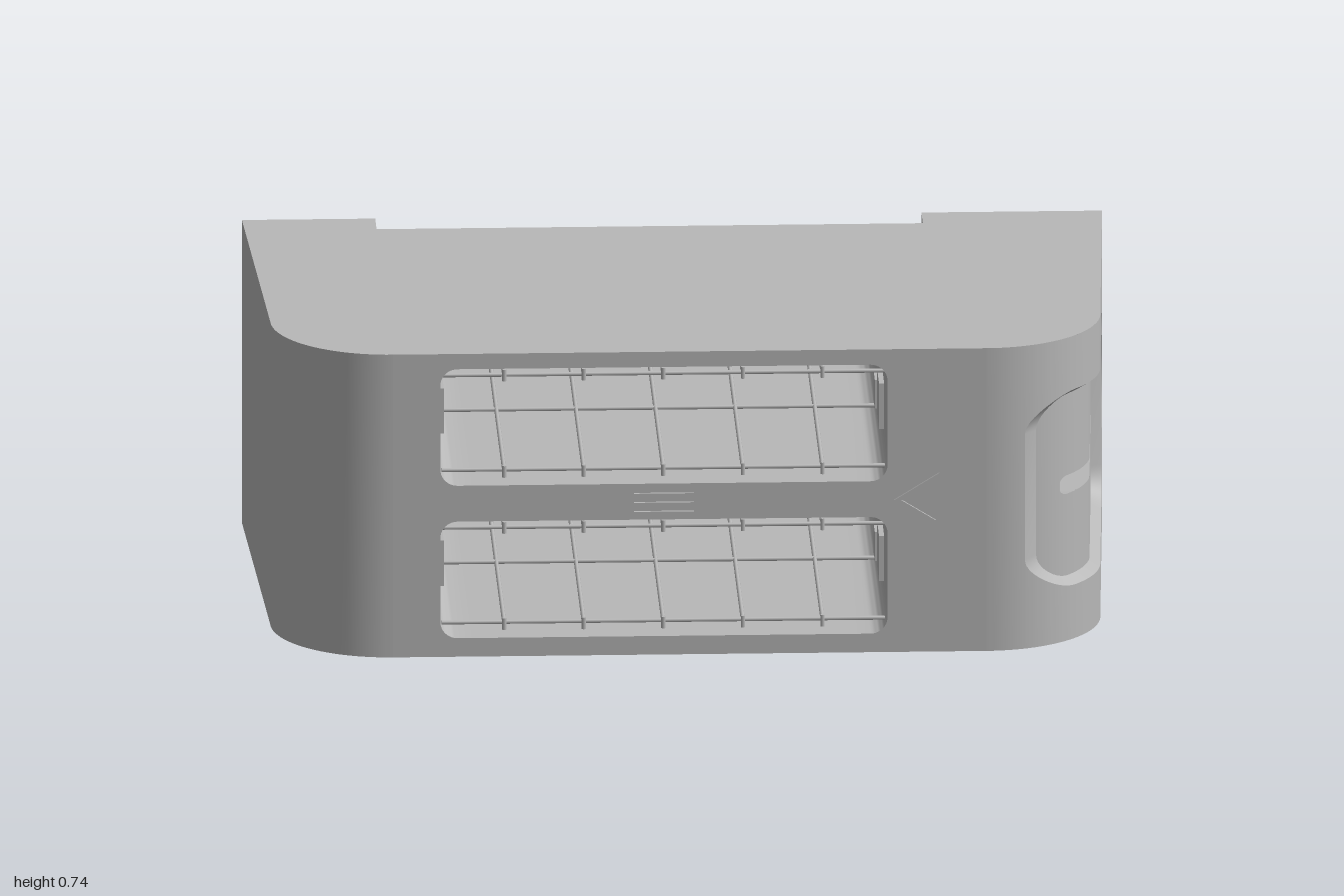
import * as THREE from 'three';
import { toCreasedNormals } from 'three/addons/utils/BufferGeometryUtils.js';

const H = 0.735, BACK = -0.515, FRONT = 0.575, NOTCH = -0.43, R = 0.275;
const grey = new THREE.MeshStandardMaterial({ color: 0xb8b8b8, side: THREE.DoubleSide });
grey.name = 'casing grey';

// Rounded rectangle on an unrolled wall: u along the wall, y up
function rounded(u0, u1, y0, y1, r) {
  const us = [];
  const end = (i) => r * (1 - Math.cos((i / 10) * Math.PI / 2));
  for (let i = 0; i < 10; i++) us.push(u0 + end(i));
  for (let i = 0; i <= 24; i++) us.push(u0 + r + (u1 - u0 - 2 * r) * i / 24);
  for (let i = 9; i >= 0; i--) us.push(u1 - end(i));
  const inset = (u) => {
    const e = Math.max(0, Math.min(u - u0, u1 - u, r));
    return r - Math.sqrt(Math.max(0, r * r - (r - e) ** 2));
  };
  return { u0, u1, us, lo: (u) => y0 + inset(u), hi: (u) => y1 - inset(u) };
}

// Collects quads into a creased surface; a map turns u into [x, z]
class Surface {
  constructor() { this.p = []; }
  tri(a, b, c) {
    const [A, B, C] = [a, b, c].map((q) => new THREE.Vector3(...q));
    if (B.sub(A).cross(C.sub(A)).length() > 1e-10) this.p.push(...a, ...b, ...c);
  }
  quad(a, b, c, d) { this.tri(a, b, c); this.tri(a, c, d); }
  // Wall filling a bound, leaving out the holes
  panel(map, bound, holes = []) {
    const at = (u, y) => { const [x, z] = map(u); return [x, y, z]; };
    const us = [...bound.us, ...holes.flatMap((h) => h.us)].sort((a, b) => a - b)
      .filter((u, i, s) => i === 0 || u - s[i - 1] > 1e-6);
    for (let i = 0; i + 1 < us.length; i++) {
      const a = us[i], b = us[i + 1], m = (a + b) / 2;
      const cut = holes.filter((h) => h.u0 < m && m < h.u1).sort((p, q) => p.lo(m) - q.lo(m));
      const lows = [bound.lo, ...cut.map((h) => h.hi)];
      const highs = [...cut.map((h) => h.lo), bound.hi];
      lows.forEach((lo, k) => {
        const hi = highs[k];
        this.quad(at(a, lo(a)), at(b, lo(b)), at(b, hi(b)), at(a, hi(a)));
      });
    }
    return this;
  }
  // Side walls between two rounded rectangles
  loft(mapA, A, mapB, B) {
    const ring = (map, s) => [
      ...s.us.map((u) => [map(u)[0], s.lo(u), map(u)[1]]),
      ...[...s.us].reverse().map((u) => [map(u)[0], s.hi(u), map(u)[1]])];
    const p = ring(mapA, A), q = ring(mapB, B), n = p.length;
    for (let i = 0; i < n; i++) this.quad(p[i], p[(i + 1) % n], q[(i + 1) % n], q[i]);
    return this;
  }
  mesh(name) {
    const g = new THREE.BufferGeometry();
    g.setAttribute('position', new THREE.Float32BufferAttribute(this.p, 3));
    return named(toCreasedNormals(g, 0.45), name);
  }
}

function named(geometry, name) {
  const m = new THREE.Mesh(geometry, grey);
  m.name = name;
  return m;
}
function box(name, x0, x1, y0, y1, z0, z1) {
  const m = named(new THREE.BoxGeometry(x1 - x0, y1 - y0, z1 - z0), name);
  m.position.set((x0 + x1) / 2, (y0 + y1) / 2, (z0 + z1) / 2);
  return m;
}
function wire(name, a, b) {
  const A = new THREE.Vector3(...a), d = new THREE.Vector3(...b).sub(A);
  const m = named(new THREE.CylinderGeometry(0.005, 0.005, d.length(), 8), name);
  m.position.copy(A).addScaledVector(d, 0.5);
  m.quaternion.setFromUnitVectors(new THREE.Vector3(0, 1, 0), d.normalize());
  return m;
}

// Side wall: slight taper, then a round front corner
const sideX = (z) => z <= 0.3 ? 0.965 + 0.035 * (0.3 - z) / 0.815
  : 0.69 + Math.sqrt(Math.max(0, R * R - (z - 0.3) ** 2));
const outer = (z) => [sideX(z), z];
const mirrored = (z) => [-sideX(z), z];
const inset = (z) => {
  const d = 0.025;
  return z <= 0.3 ? [sideX(z) - d, z]
    : [sideX(z) - d * (sideX(z) - 0.69) / R, z - d * (z - 0.3) / R];
};
const plane = (z) => (x) => [x, z];
const arcZ = Array.from({ length: 25 }, (_, i) => 0.3 + R * Math.sin((i / 24) * Math.PI / 2));

export function createModel() {
  const model = new THREE.Group();
  model.name = 'toaster oven';

  // Side walls, with the control recess, dial hole and small slot on one side
  const sideBound = { ...rounded(BACK, FRONT, 0, H, 0), us: [BACK, ...arcZ] };
  const recess = rounded(-0.2, 0.56, 0.13, 0.605, 0.085);
  const recessFloor = rounded(-0.182, 0.543, 0.147, 0.588, 0.07);
  const groove = rounded(-0.17, 0.5, 0.345, 0.39, 0.0225);
  const dial = rounded(-0.463, -0.237, 0.254, 0.48, 0.113);
  const pill = rounded(-0.42, -0.37, 0.53, 0.65, 0.0249);
  const grooveBed = (z) => { const [x, w] = inset(z); return [Math.min(x, 0.865), w]; };
  const dialBed = (z) => [0.83, z], pillBed = (z) => [0.96, z];
  model.add(new Surface().panel(outer, sideBound, [recess, dial, pill]).mesh('leftSide'));
  model.add(new Surface().panel(mirrored, sideBound).mesh('rightSide'));
  model.add(new Surface().loft(outer, recess, inset, recessFloor)
    .panel(inset, recessFloor, [groove]).mesh('controlRecess'));
  model.add(new Surface().loft(inset, groove, grooveBed, groove).panel(grooveBed, groove).mesh('leverGroove'));
  model.add(new Surface().loft(outer, dial, dialBed, dial).panel(dialBed, dial).mesh('dialHole'));
  model.add(new Surface().loft(outer, pill, pillBed, pill).panel(pillBed, pill).mesh('indicatorSlot'));

  // Front and back walls with the two through slots
  const slots = [0.045, 0.415].map((y) => rounded(-0.58, 0.46, y, y + 0.283, 0.04));
  model.add(new Surface().panel(plane(FRONT), rounded(-0.69, 0.69, 0, H, 0), slots).mesh('front'));
  const back = new Surface().panel(plane(NOTCH), rounded(-0.69, 0.58, 0, H, 0), slots)
    .panel(plane(BACK), rounded(-1, -0.69, 0, H, 0))
    .panel(plane(BACK), rounded(0.58, 1, 0, H, 0));
  for (const x of [-0.69, 0.58]) back.panel((z) => [x, z], rounded(BACK, NOTCH, 0, H, 0));
  model.add(back.mesh('back'));
  for (const s of slots) model.add(new Surface().loft(plane(FRONT), s, plane(NOTCH), s).mesh('slotWalls'));

  // Top and bottom
  const outline = new THREE.Shape([
    [-0.69, BACK], [-0.69, NOTCH], [0.58, NOTCH], [0.58, BACK], [1, BACK],
    ...arcZ.map(outer), ...[...arcZ].reverse().map(mirrored), [-1, BACK],
  ].map(([x, z]) => new THREE.Vector2(x, -z)));
  for (const [name, y] of [['top', H], ['bottom', 0]]) {
    const cap = named(new THREE.ShapeGeometry(outline), name);
    // The bottom is flipped so that its face looks down
    if (y) cap.geometry.rotateX(-Math.PI / 2);
    else cap.geometry.scale(1, -1, 1).rotateX(Math.PI / 2);
    if (!y) {
      const ix = cap.geometry.index.array;
      for (let i = 0; i < ix.length; i += 3) [ix[i], ix[i + 1]] = [ix[i + 1], ix[i]];
      cap.geometry.computeVertexNormals();
    }
    cap.position.y = y;
    model.add(cap);
  }

  // Tapered pan closing the slots behind
  const rim = rounded(-0.56, 0.45, 0.07, 0.665, 0.01);
  const bed = rounded(-0.5, 0.41, 0.175, 0.56, 0.01);
  model.add(new Surface().loft(plane(NOTCH), rim, plane(-0.462), rim)
    .loft(plane(-0.462), rim, plane(-0.493), bed).panel(plane(-0.493), bed).mesh('backPan'));

  // Angle rails beside the pan
  for (const [x, s] of [[-0.575, -1], [0.465, 1]]) {
    model.add(box('railWeb', x - 0.004, x + 0.004, 0.04, 0.695, -0.487, NOTCH));
    const e = x + s * 0.045;
    model.add(box('railLip', Math.min(x, e), Math.max(x, e), 0.04, 0.695, -0.487, -0.479));
  }

  // Wire racks and side brackets in each slot
  for (const y of [0.045, 0.415]) {
    for (const [h, dir] of [[0.025, -1], [0.255, 1]]) {
      const wy = y + h;
      for (const x of [-0.43, -0.245, -0.06, 0.125, 0.31]) {
        model.add(wire('rackBar', [x, wy, 0.54], [x, wy, -0.42]));
        model.add(wire('rackHook', [x, wy - dir * 0.012, 0.54], [x, wy + dir * 0.016, 0.54]));
      }
      for (const z of [0.53, 0.05, -0.4]) model.add(wire('rackCrossBar', [-0.575, wy, z], [0.455, wy, z]));
    }
    for (const x of [-0.572, 0.452]) {
      model.add(box('sideBracket', x - 0.006, x + 0.006, y + 0.08, y + 0.19, 0.3, 0.42));
      model.add(box('sideBracket', x - 0.006, x + 0.006, y + 0.05, y + 0.12, 0.08, 0.16));
    }
  }

  // Floating back cover: flange with a latch hole, and a raised rounded panel
  const flange = rounded(-0.79, 0.71, 0.148, 0.59, 0.012);
  const latch = rounded(-0.755, -0.705, 0.35, 0.43, 0.001);
  const near = plane(-0.547), far = plane(-0.558);
  model.add(new Surface().panel(near, flange, [latch]).panel(far, flange, [latch])
    .loft(near, flange, far, flange).loft(near, latch, far, latch).mesh('coverFlange'));
  const wide = rounded(-0.61, 0.7, 0.155, 0.583, 0.05);
  const mid = rounded(-0.6, 0.69, 0.165, 0.573, 0.045);
  const flat = rounded(-0.585, 0.675, 0.18, 0.558, 0.035);
  model.add(new Surface().loft(far, wide, plane(-0.578), mid).loft(plane(-0.578), mid, plane(-0.59), flat)
    .panel(plane(-0.59), flat).mesh('coverPanel'));

  // Small raised marks on the front
  for (const y of [0.345, 0.367, 0.389]) model.add(box('gripBar', -0.13, 0.01, y - 0.004, y + 0.004, FRONT, 0.582));
  const v = (x, y) => new THREE.Vector2(x, y);
  const tri = new THREE.Shape([v(0.475, 0.37), v(0.58, 0.305), v(0.58, 0.435)]);
  tri.holes.push(new THREE.Path([v(0.492, 0.37), v(0.571, 0.419), v(0.571, 0.321)]));
  const mark = named(new THREE.ExtrudeGeometry(tri, { depth: 0.006, bevelEnabled: false }), 'triangleMark');
  mark.position.z = FRONT;
  model.add(mark);
  return model;
}
